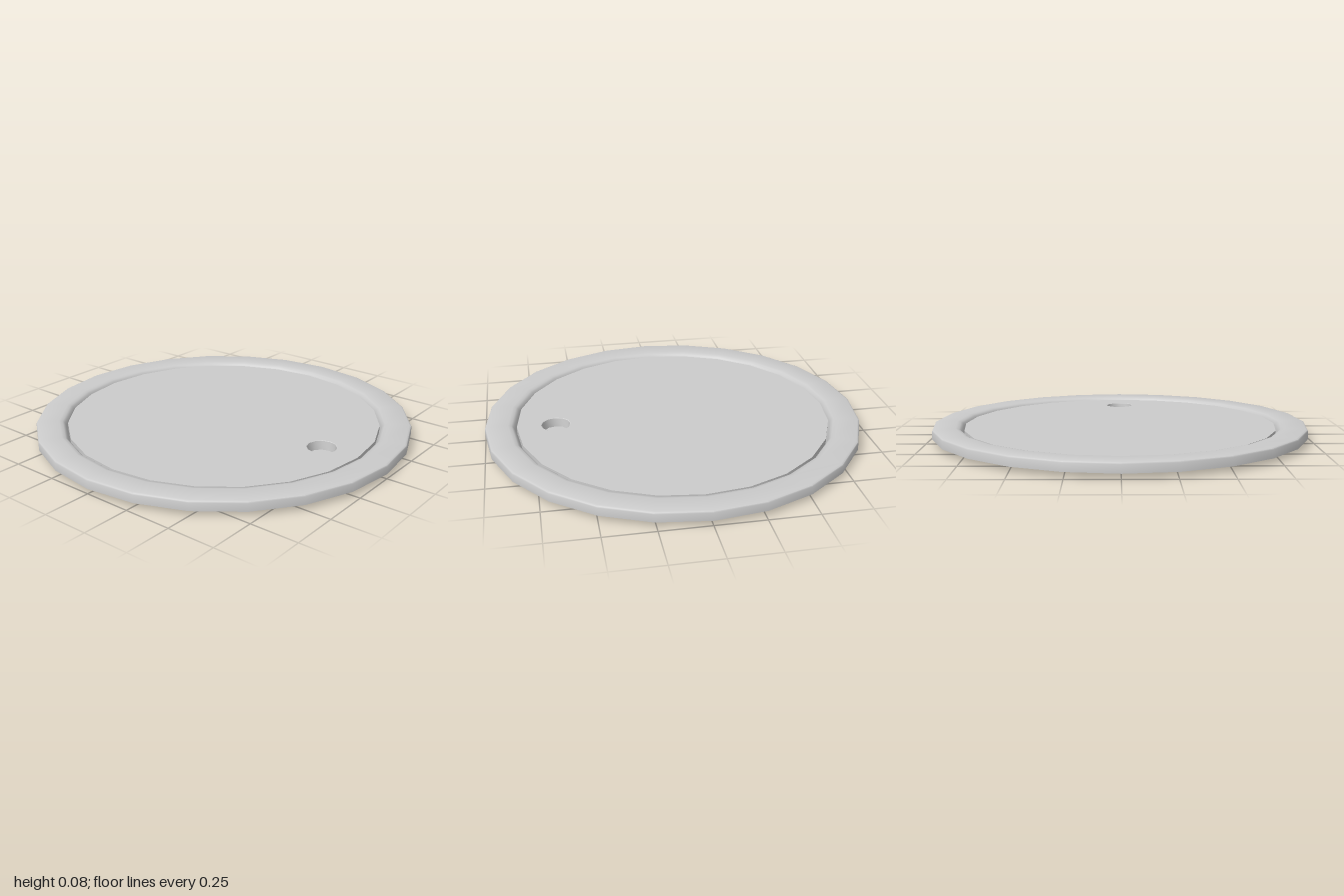
import * as THREE from 'three';
import { toCreasedNormals } from 'three/addons/utils/BufferGeometryUtils.js';

const SIDES = 24, HOLE_SIDES = 12, HOLE_Z = 0.63;
const LID_BOTTOM = 0.023, LID_TOP = 0.062;

// Points of a regular polygon with a corner on the y axis
function polygon(radius, sides, cy = 0) {
  return Array.from({ length: sides }, (_, i) => {
    const a = (i / sides) * Math.PI * 2;
    return new THREE.Vector2(radius * Math.sin(a), cy + radius * Math.cos(a));
  });
}

function lathe(profile, sides) {
  const points = profile.map(([r, y]) => new THREE.Vector2(r, y));
  return toCreasedNormals(new THREE.LatheGeometry(points, sides), 0.7);
}

export function createModel() {
  const group = new THREE.Group();
  const material = new THREE.MeshStandardMaterial({ color: 0xcccccc });
  const add = (name, geometry) => {
    const mesh = new THREE.Mesh(geometry, material);
    mesh.name = name;
    group.add(mesh);
    return mesh;
  };

  // Outer frame with softened top edges
  add('frameRing', lathe([
    [0.835, 0.025], [1, 0.025], [1, 0.066], [0.997, 0.072], [0.988, 0.076],
    [0.88, 0.076], [0.862, 0.072], [0.852, 0.064], [0.845, 0.05], [0.835, 0.025],
  ], SIDES));

  // Flat lid with a round finger hole
  const lidShape = new THREE.Shape(polygon(0.835, SIDES));
  lidShape.holes.push(new THREE.Path(polygon(0.08, HOLE_SIDES, -HOLE_Z)));
  const lid = new THREE.ExtrudeGeometry(lidShape, {
    depth: LID_TOP - LID_BOTTOM, bevelEnabled: false,
  });
  lid.rotateX(-Math.PI / 2).translate(0, LID_BOTTOM, 0);
  add('lid', toCreasedNormals(lid, 0.7));

  // Shallow cup closing the hole and standing out below the lid
  const cup = add('fingerCup', lathe([
    [0, 0], [0.07, 0], [0.07, LID_BOTTOM], [0.08, LID_BOTTOM],
    [0.08, LID_TOP], [0.076, LID_TOP - 0.002], [0.07, 0.014], [0, 0.014],
  ], HOLE_SIDES));
  cup.position.z = HOLE_Z;

  return group;
}
